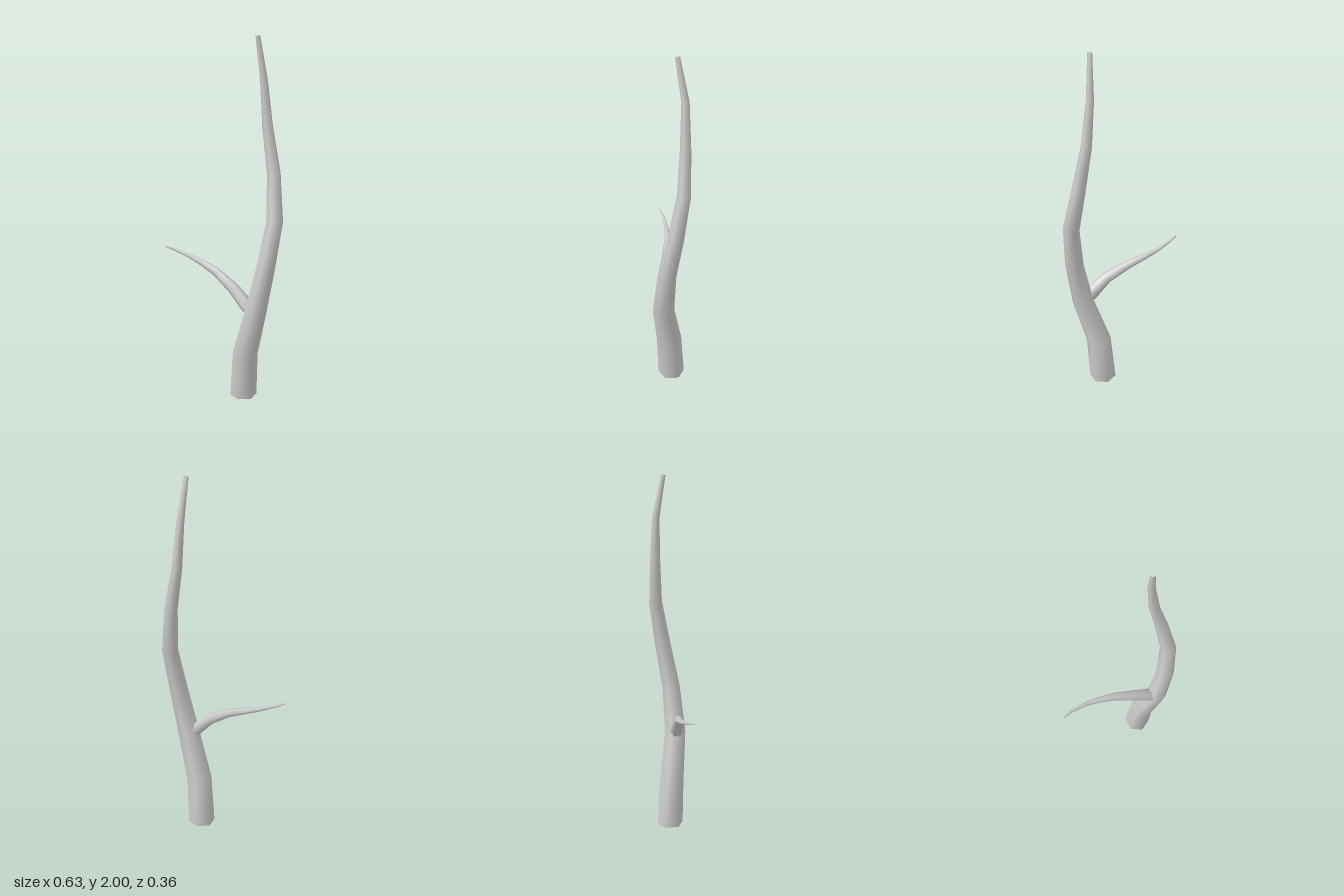
import * as THREE from 'three';

const SIDES = 6;

// Tapered six-sided limb skinned over [x, y, z, radius] stations, with flat end caps
function limb(name, stations, firstDir, material) {
  const centres = stations.map(([x, y, z]) => new THREE.Vector3(x, y, z));
  const last = centres.length - 1;
  const pos = [], idx = [];
  const rings = centres.map((c, i) => {
    const dir = i === 0 && firstDir ? firstDir.clone()
      : centres[Math.min(i + 1, last)].clone().sub(centres[Math.max(i - 1, 0)]).normalize();
    // Ring axes: u stays near +x for upright limbs, level for sideways ones
    const u = Math.abs(dir.y) > 0.85
      ? new THREE.Vector3(1, 0, 0).addScaledVector(dir, -dir.x).normalize()
      : new THREE.Vector3(0, 1, 0).cross(dir).normalize();
    const v = u.clone().cross(dir).normalize();
    return Array.from({ length: SIDES }, (_, k) => {
      const a = (k / SIDES) * Math.PI * 2, r = stations[i][3];
      return c.clone().addScaledVector(u, Math.cos(a) * r).addScaledVector(v, Math.sin(a) * r);
    });
  });
  // Bark: shared vertices for smooth shading
  rings.forEach((ring) => ring.forEach((p) => pos.push(p.x, p.y, p.z)));
  for (let i = 0; i < last; i++) {
    for (let k = 0; k < SIDES; k++) {
      const a = i * SIDES + k, b = i * SIDES + ((k + 1) % SIDES);
      idx.push(a, a + SIDES, b, b, a + SIDES, b + SIDES);
    }
  }
  // Caps: separate vertices for a crisp rim
  for (const [ring, end] of [[rings[0], false], [rings[last], true]]) {
    const base = pos.length / 3;
    ring.forEach((p) => pos.push(p.x, p.y, p.z));
    for (let k = 1; k < SIDES - 1; k++) {
      if (end) idx.push(base, base + k + 1, base + k);
      else idx.push(base, base + k, base + k + 1);
    }
  }
  const geo = new THREE.BufferGeometry();
  geo.setAttribute('position', new THREE.Float32BufferAttribute(pos, 3));
  geo.setIndex(idx);
  geo.computeVertexNormals();
  const mesh = new THREE.Mesh(geo, material);
  mesh.name = name;
  return mesh;
}

export function createModel() {
  const group = new THREE.Group();
  group.name = 'bareTree';
  const bark = new THREE.MeshStandardMaterial({ color: 0xcccccc });
  bark.name = 'pale grey bark';

  // Winding trunk
  group.add(limb('trunk', [
    [0.115, 0, 0.034, 0.074],
    [0.123, 0.265, 0.055, 0.069],
    [0.171, 0.53, 0.125, 0.059],
    [0.222, 0.79, 0.138, 0.050],
    [0.268, 1.04, 0.117, 0.044],
    [0.264, 1.29, 0.064, 0.036],
    [0.231, 1.53, 0.035, 0.028],
    [0.21, 1.77, 0.024, 0.02],
    [0.174, 1.998, 0.047, 0.012],
  ], new THREE.Vector3(0, 1, 0), bark));

  // Side branch sweeping out to the right and back
  group.add(limb('branch', [
    [0.135, 0.553, 0.104, 0.039],
    [0.055, 0.645, 0.047, 0.032],
    [-0.035, 0.712, -0.034, 0.024],
    [-0.112, 0.745, -0.093, 0.017],
    [-0.175, 0.768, -0.132, 0.012],
    [-0.262, 0.799, -0.168, 0.008],
    [-0.314, 0.815, -0.178, 0.004],
  ], null, bark));

  return group;
}
